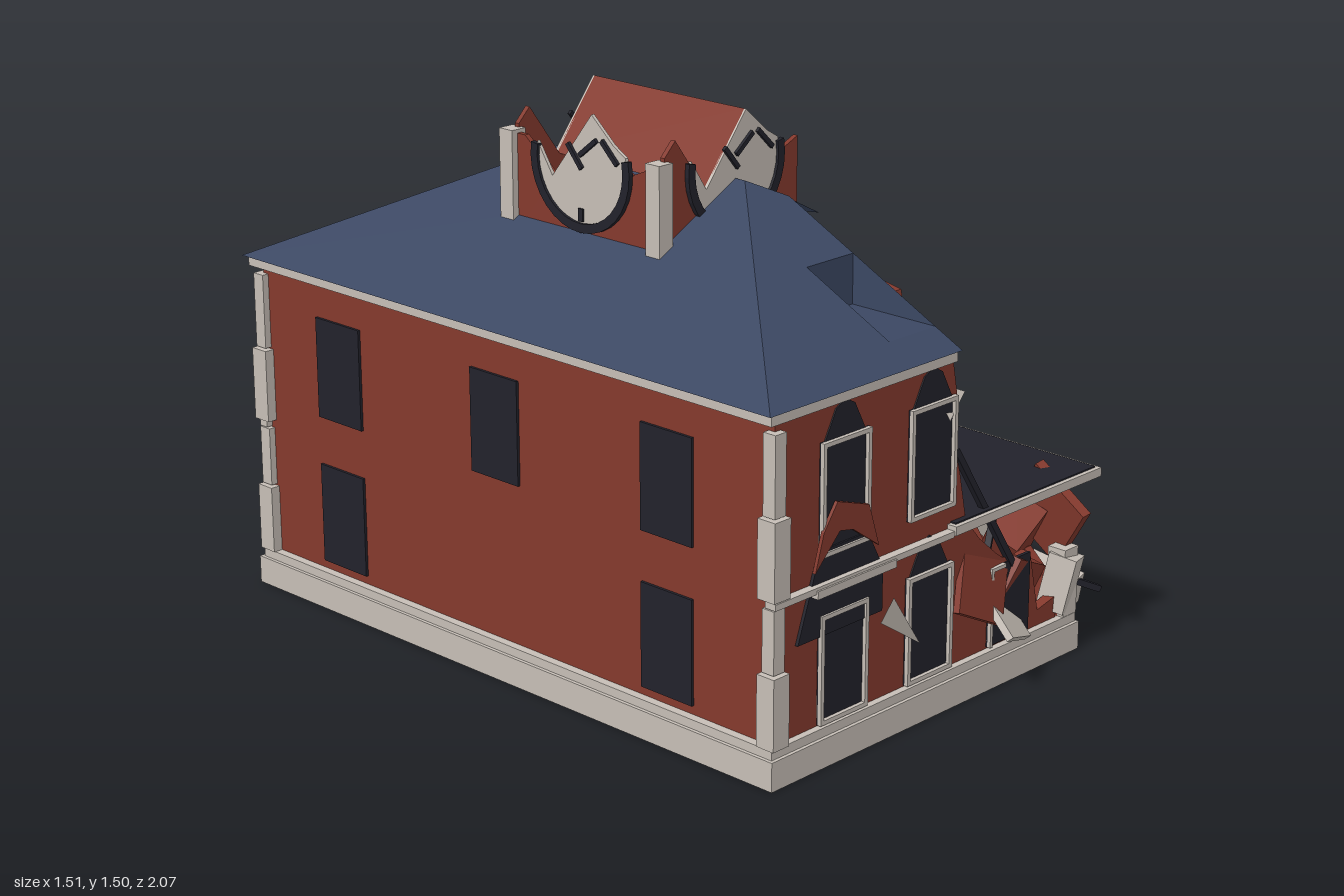
import * as THREE from 'three';

const mat = (color) => new THREE.MeshStandardMaterial({ color, side: THREE.DoubleSide, flatShading: true });
const RED = mat(0x84392d), PALE = mat(0xc6beb6), BLUE = mat(0x3b4762), DARK = mat(0x22222b),
  TAN = mat(0x96703c), PANE = mat(0x2a4660);

function add(parent, name, geometry, material) {
  const m = new THREE.Mesh(geometry, material);
  m.name = name;
  parent.add(m);
  return m;
}
// Box given by its limits on each axis
function box(parent, name, material, x0, x1, y0, y1, z0, z1) {
  const m = add(parent, name, new THREE.BoxGeometry(x1 - x0, y1 - y0, z1 - z0), material);
  m.position.set((x0 + x1) / 2, (y0 + y1) / 2, (z0 + z1) / 2);
  return m;
}
const shapeOf = (pts) => new THREE.Shape(pts.map(([x, y]) => new THREE.Vector2(x, y)));
// Plate cut from an outline; its outer face lies at z
function plate(parent, name, material, pts, z, depth = 0.01, hole) {
  const s = shapeOf(pts);
  if (hole) s.holes.push(shapeOf(hole));
  const m = add(parent, name, new THREE.ExtrudeGeometry(s, { depth, bevelEnabled: false }), material);
  m.position.z = z - depth;
  return m;
}
// Flat piece through points in space
function facet(parent, name, material, ...p) {
  const g = new THREE.BufferGeometry();
  const v = [];
  for (let i = 1; i < p.length - 1; i++) v.push(...p[0], ...p[i], ...p[i + 1]);
  g.setAttribute('position', new THREE.Float32BufferAttribute(v, 3));
  g.computeVertexNormals();
  return add(parent, name, g, material);
}
function chunk(parent, name, material, size, pos, rot) {
  const m = add(parent, name, new THREE.BoxGeometry(...size), material);
  m.position.set(...pos);
  m.rotation.set(...rot);
  return m;
}
function beam(parent, a, b, w = 0.018) {
  const A = new THREE.Vector3(...a), B = new THREE.Vector3(...b);
  const m = add(parent, 'brokenBeam', new THREE.BoxGeometry(w, w, A.distanceTo(B)), DARK);
  m.position.copy(A).lerp(B, 0.5);
  m.lookAt(B);
}
// A side of the house: local +z points outward
function side(parent, name, turn) {
  const g = new THREE.Group();
  g.name = name;
  g.rotation.y = turn;
  parent.add(g);
  return g;
}
const rect = (x0, x1, y0, y1) => [[x0, y0], [x1, y0], [x1, y1], [x0, y1]];
function framedWindow(g, x, y0, y1, z) {
  const w = 0.09, t = 0.012;
  plate(g, 'windowPane', DARK, rect(x - w, x + w, y0, y1), z + 0.004);
  plate(g, 'windowFrame', PALE, rect(x - w, x + w, y0, y1), z + 0.015, 0.015, rect(x - w + t, x + w - t, y0 + t, y1 - t));
  plate(g, 'windowArch', DARK, [[x - 0.075, y1], [x + 0.075, y1], [x + 0.035, y1 + 0.075], [x, y1 + 0.095], [x - 0.035, y1 + 0.075]], z + 0.004);
}

const roofY = (x, z) => 0.985 + 0.335 * Math.min((x + 0.75) / 0.64, (0.53 - x) / 0.64, (1 - Math.abs(z)) / 0.68);
function roofSlope(parent, name, pts) {
  const g = new THREE.ShapeGeometry(shapeOf(pts));
  const p = g.attributes.position;
  for (let i = 0; i < p.count; i++) p.setXYZ(i, p.getX(i), roofY(p.getX(i), p.getY(i)), p.getY(i));
  g.computeVertexNormals();
  add(parent, name, g, BLUE);
}

function clock(g, s, z) {
  const arc = (r, a, b, n = 18) => Array.from({ length: n + 1 }, (_, i) => {
    const t = (a + (b - a) * i / n) * Math.PI / 180;
    return [s * r * Math.cos(t), 1.36 + r * Math.sin(t)];
  });
  plate(g, 'clockFace', PALE, [...arc(0.17, 168, 375), [s * 0.12, 1.43], [s * 0.04, 1.5], [s * -0.11, 1.31]], z + 0.006);
  plate(g, 'clockRim', DARK, [...arc(0.185, 170, 372), ...arc(0.16, 372, 170)], z + 0.014, 0.014);
  box(g, 'clockMark', DARK, -0.008, 0.008, 1.205, 1.24, z, z + 0.012);
  for (const [x, y, r] of [[0.03, 1.41, -0.9], [-0.02, 1.38, 0.7], [0.11, 1.41, 0.8]])
    chunk(g, 'clockHand', DARK, [0.013, 0.08, 0.01], [s * x, y, z + 0.01], [0, 0, s * r]);
}

export function createModel() {
  const house = new THREE.Group();
  house.name = 'ruinedHall';

  // Plinth and floors
  box(house, 'plinth', PALE, -0.735, 0.51, 0, 0.08, -1, 1);
  box(house, 'plinthTop', PALE, -0.725, 0.505, 0.08, 0.105, -0.99, 0.99);
  box(house, 'upperFloor', PALE, -0.69, 0.48, 0.475, 0.495, -0.96, 0.43);
  box(house, 'upperFloorFront', PALE, -0.69, -0.03, 0.475, 0.495, 0.43, 0.96);
  box(house, 'cornerSlabTrim', PALE, -0.035, 0.585, 0.483, 0.508, 0.425, 1);
  box(house, 'cornerSlab', DARK, -0.022, 0.572, 0.49, 0.512, 0.44, 0.987);

  // Front wall, broken on the right
  const front = side(house, 'frontSide', 0);
  plate(front, 'frontWall', RED, [[-0.7, 0.1], [0.44, 0.1], [0.45, 0.17], [0.36, 0.15], [0.32, 0.33], [0.24, 0.32], [0.17, 0.37],
    [0.1, 0.43], [0.04, 0.5], [0.01, 0.64], [-0.03, 0.78], [-0.01, 0.86], [-0.03, 0.96], [-0.7, 0.96]], 0.97, 0.03);
  for (const x of [-0.447, -0.11]) {
    framedWindow(front, x, 0.56, 0.86, 0.97);
    framedWindow(front, x, 0.108, 0.405, 0.97);
  }
  plate(front, 'brokenPane', DARK, rect(0.14, 0.315, 0.11, 0.333), 0.975);
  plate(front, 'brokenFrame', PALE, [[0.14, 0.11], [0.15, 0.11], [0.15, 0.325], [0.2, 0.325], [0.2, 0.335], [0.14, 0.335]], 0.985, 0.012);
  plate(front, 'blastHole', DARK, [[-0.62, 0.35], [-0.3, 0.35], [-0.3, 0.47], [-0.36, 0.58], [-0.54, 0.58]], 0.979);
  plate(front, 'blastBrick', RED, [[-0.57, 0.53], [-0.48, 0.62], [-0.43, 0.61], [-0.33, 0.54], [-0.37, 0.66], [-0.49, 0.7], [-0.54, 0.63]], 0.99);
  box(front, 'stringCourse', PALE, -0.72, -0.035, 0.478, 0.495, 0.96, 0.995);
  box(front, 'sillLedge', PALE, -0.57, -0.27, 0.465, 0.487, 0.97, 1);

  // Right wall (local x runs toward the back)
  const right = side(house, 'doorSide', Math.PI / 2);
  plate(right, 'rightWall', RED, [[-0.42, 0.1], [0.97, 0.1], [0.97, 0.96], [-0.1, 0.96], [-0.2, 0.93], [-0.36, 0.9], [-0.4, 0.7],
    [-0.47, 0.7], [-0.47, 0.6], [-0.4, 0.58], [-0.42, 0.48]], 0.49, 0.03);
  plate(right, 'brokenCornerWall', RED, [[-0.97, 0.1], [-0.42, 0.1], [-0.42, 0.4], [-0.52, 0.3], [-0.6, 0.36], [-0.7, 0.22], [-0.85, 0.27], [-0.97, 0.16]], 0.48, 0.03);
  framedWindow(right, 0.63, 0.56, 0.86, 0.49);
  framedWindow(right, 0.63, 0.108, 0.4, 0.49);
  plate(right, 'brokenArchBrick', RED, [[0.1, 0.5], [0.34, 0.5], [0.34, 0.66], [0.29, 0.83], [0.2, 0.93], [0.14, 0.78]], 0.505, 0.015);
  plate(right, 'brokenArch', DARK, [[0.11, 0.37], [0.33, 0.37], [0.33, 0.65], [0.28, 0.82], [0.21, 0.86], [0.16, 0.72]], 0.51);
  for (const [x, y] of [[0.34, 0.67], [0.45, 0.665], [0.82, 0.56]]) {
    const hit = add(right, 'shotHole', new THREE.CylinderGeometry(0.018, 0.018, 0.01, 7), DARK);
    hit.rotation.x = Math.PI / 2;
    hit.position.set(x, y, 0.49);
  }
  box(right, 'door', TAN, -0.075, 0.075, 0.1, 0.325, 0.48, 0.498);
  box(right, 'stringCourse', PALE, 0.4, 0.98, 0.478, 0.495, 0.48, 0.51);
  chunk(right, 'tiltedAwning', PALE, [0.35, 0.015, 0.16], [0.65, 0.49, 0.565], [0.48, 0, 0]);

  // Back and left walls with plain windows
  const back = side(house, 'backSide', Math.PI);
  plate(back, 'backWall', RED, rect(-0.49, 0.7, 0.1, 0.96), 0.97, 0.03);
  for (const x of [-0.21, 0.11, 0.43]) for (const y of [0.13, 0.56])
    plate(back, 'backWindow', x < 0 && y > 0.5 ? PANE : DARK, rect(x - 0.08, x + 0.08, y, y + 0.285), 0.976);
  box(back, 'stringCourse', PALE, -0.51, 0.72, 0.478, 0.495, 0.96, 0.99);
  const left = side(house, 'leftSide', -Math.PI / 2);
  plate(left, 'leftWall', RED, rect(-0.97, 0.97, 0.1, 0.96), 0.7, 0.03);
  for (const [x, y] of [[-0.65, 0.13], [-0.65, 0.56], [-0.02, 0.56], [0.61, 0.13], [0.61, 0.56]])
    plate(left, 'leftWindow', DARK, rect(x - 0.09, x + 0.09, y, y + 0.29), 0.708, 0.012);

  // Corner stones
  for (const [x, z, n] of [[-0.7, 0.97, 4], [-0.7, -0.97, 4], [0.49, -0.97, 4], [0.48, 0.96, 1]])
    [[0.105, 0.3], [0.305, 0.475], [0.5, 0.71], [0.715, 0.93]].slice(0, n).forEach(([a, b], i) => {
      const r = i % 2 ? 0.02 : 0.029;
      box(house, 'cornerStone', PALE, x - r, x + r, a, b, z - r, z + r);
    });

  // Cornice
  box(house, 'corniceFront', PALE, -0.735, -0.035, 0.955, 0.984, 0.95, 0.99);
  box(house, 'corniceBack', PALE, -0.735, 0.515, 0.955, 0.984, -0.99, -0.95);
  box(house, 'corniceLeft', PALE, -0.735, -0.695, 0.955, 0.984, -0.99, 0.99);
  box(house, 'corniceRight', PALE, 0.475, 0.515, 0.955, 0.984, -0.99, 0.1);

  // Hipped roof with the front right corner torn away
  roofSlope(house, 'roofLeft', [[-0.75, -1], [-0.11, -0.32], [-0.11, 0.32], [-0.75, 1]]);
  roofSlope(house, 'roofBack', [[-0.75, -1], [0.53, -1], [-0.11, -0.32]]);
  roofSlope(house, 'roofRight', [[-0.11, -0.32], [0.53, -1], [0.17, 0.28], [0.13, 0.37], [-0.03, 0.37], [-0.03, 0.405], [-0.11, 0.32]]);
  roofSlope(house, 'roofFront', [[-0.75, 1], [-0.11, 0.32], [-0.03, 0.405], [-0.03, 0.63], [-0.21, 0.63], [-0.21, 0.91], [-0.03, 0.91], [-0.03, 1]]);
  const yb = roofY(-0.12, 0.63), yf = roofY(-0.12, 0.91);
  facet(house, 'recessBack', BLUE, [-0.21, yf, 0.63], [-0.03, yf, 0.63], [-0.03, yb, 0.63], [-0.21, yb, 0.63]);
  facet(house, 'recessFloor', BLUE, [-0.21, yf, 0.63], [-0.21, yf, 0.91], [-0.03, yf, 0.91], [-0.03, yf, 0.63]);
  for (const x of [-0.21, -0.03]) facet(house, 'recessSide', BLUE, [x, yf, 0.63], [x, yf, 0.91], [x, yb, 0.63]);

  // Clock turret
  const turret = new THREE.Group();
  turret.name = 'clockTurret';
  turret.position.x = -0.11;
  house.add(turret);
  for (const [name, turn, s] of [['turretFront', 0, 1], ['turretBack', Math.PI, -1], ['turretLeft', -Math.PI / 2, 1]]) {
    const g = side(turret, name, turn);
    plate(g, 'turretWall', RED, [[-0.26, 1.12], [-0.26, 1.42], [-0.22, 1.46], [-0.11, 1.31], [0.04, 1.5], [0.18, 1.36], [0.25, 1.39], [0.25, 1.12]].map(([x, y]) => [s * x, turn === -Math.PI / 2 ? Math.min(y, 1.4) : y]), 0.28, 0.015);
    if (turn === -Math.PI / 2) g.scale.y = 1;
    clock(g, s, 0.28);
    box(g, 'turretTrim', PALE, -0.3, 0.3, 1.12, 1.145, 0.275, 0.3);
  }
  for (const [x, z] of [[-1, 1], [-1, -1], [1, -1]])
    box(turret, 'turretPost', PALE, x * 0.275 - 0.025, x * 0.275 + 0.025, 1.1, 1.41, z * 0.275 - 0.025, z * 0.275 + 0.025);
  box(turret, 'turretTrim', PALE, 0.275, 0.3, 1.12, 1.145, -0.3, 0.3);
  facet(turret, 'turretLid', RED, [-0.11, 1.31, -0.28], [-0.11, 1.31, 0.28], [0.04, 1.5, 0.28], [0.04, 1.5, -0.28]);
  facet(turret, 'turretLid', RED, [0.04, 1.5, -0.28], [0.04, 1.5, 0.28], [0.06, 1.47, 0.28], [0.1, 1.44, -0.28]);
  facet(turret, 'fallenTurretWall', RED, [0.05, 1.31, 0.27], [0.28, 1.15, 0.28], [0.11, 1.29, 0.1]);

  // Porch
  const porch = new THREE.Group();
  porch.name = 'porch';
  house.add(porch);
  [0.75, 0.71, 0.66].forEach((x, i) => box(porch, 'step', PALE, 0.5, x, i * 0.025, i * 0.025 + 0.025, i * 0.02 - 0.42, 0.42 - i * 0.02));
  box(porch, 'porchFloor', PALE, 0.5, 0.655, 0.07, 0.1, -0.41, 0.41);
  for (const z of [0.365, 0.19, -0.2, -0.36]) {
    const c = add(porch, 'column', new THREE.CylinderGeometry(0.025, 0.027, 0.37, 8), PALE);
    c.position.set(0.61, 0.285, z);
    for (const y of [0.11, 0.46]) box(porch, 'columnBlock', PALE, 0.575, 0.645, y - 0.012, y + 0.012, z - 0.037, z + 0.037);
  }
  box(porch, 'entablature', PALE, 0.49, 0.665, 0.472, 0.52, -0.42, 0.42);
  const gable = side(porch, 'pediment', Math.PI / 2);
  plate(gable, 'pedimentRim', PALE, [[-0.42, 0.515], [0.42, 0.515], [0.42, 0.53], [0, 0.685], [-0.42, 0.53]], 0.67, 0.02, [[-0.33, 0.537], [0.33, 0.537], [0, 0.655]]);
  plate(gable, 'pedimentPanel', RED, [[-0.34, 0.53], [0.34, 0.53], [0, 0.66]], 0.66, 0.008);
  facet(porch, 'porchRoof', PALE, [0.5, 0.68, 0], [0.5, 0.525, 0.42], [0.665, 0.525, 0.42]);
  facet(porch, 'porchRoof', PALE, [0.66, 0.68, 0], [0.5, 0.525, -0.42], [0.665, 0.525, -0.42]);

  // Rubble at the broken corner
  const rubble = new THREE.Group();
  rubble.name = 'rubble';
  house.add(rubble);
  for (const [material, size, pos, rot] of [
    [RED, [0.2, 0.18, 0.02], [0.1, 0.3, 0.98], [-0.25, 0.1, -0.45]],
    [RED, [0.14, 0.24, 0.24], [0.65, 0.2, 0.5], [0.35, 0.2, 0.12]],
    [RED, [0.15, 0.14, 0.2], [0.62, 0.28, 0.3], [-0.4, 0.3, 0.2]],
    [RED, [0.1, 0.12, 0.12], [0.6, 0.17, 0.17], [0.5, 0.4, 0.2]],
    [RED, [0.24, 0.12, 0.04], [0.32, 0.24, 0.93], [0.3, 0.2, -0.5]],
    [RED, [0.16, 0.2, 0.1], [0.42, 0.3, 0.82], [0.5, 0.3, 0.4]],
    [RED, [0.2, 0.12, 0.14], [0.25, 0.16, 0.85], [0.3, 0.6, 0.2]],
    [RED, [0.03, 0.22, 0.2], [0.49, 0.38, 0.9], [0.6, 0, 0.2]],
    [PALE, [0.16, 0.16, 0.17], [0.55, 0.34, 0.69], [0.6, 0.3, 0.35]],
    [PALE, [0.1, 0.1, 0.16], [0.55, 0.14, 0.86], [0.25, 0.2, 0.15]],
    [PALE, [0.07, 0.16, 0.08], [0.47, 0.2, 0.96], [0.2, 0.3, -0.15]],
    [PALE, [0.08, 0.1, 0.12], [0.62, 0.14, 0.68], [0.8, 0.2, 0.2]],
    [PALE, [0.18, 0.02, 0.1], [0.2, 0.17, 1], [0.8, 0, -0.5]],
  ]) chunk(rubble, 'rubbleBlock', material, size, pos, rot);
  facet(rubble, 'shard', PALE, [-0.33, 0.33, 1], [-0.28, 0.385, 1], [-0.16, 0.22, 0.99]);
  facet(rubble, 'shard', RED, [0.24, 0.51, 0.4], [0.45, 0.51, 0.15], [0.45, 0.58, 0.4]);
  facet(rubble, 'shard', PALE, [0.38, 0.52, 0.4], [0.47, 0.6, 0.2], [0.47, 0.52, 0.42]);
  for (const [z, y] of [[0.9, 0.93], [0.72, 0.94], [0.97, 0.84]])
    facet(rubble, 'corniceShard', PALE, [-0.06, y - 0.04, z + 0.02], [0.06, y, z - 0.03], [-0.05, y + 0.05, z - 0.06]);
  beam(rubble, [0, 0.7, 0.96], [0.24, 0.32, 0.97]);
  beam(rubble, [0.22, 0.33, 0.9], [0.4, 0.48, 0.8]);
  beam(rubble, [0.4, 0.25, 0.85], [0.64, 0.13, 0.97]);
  beam(rubble, [0.2, 0.48, 0.6], [0.5, 0.12, 0.75]);
  return house;
}
